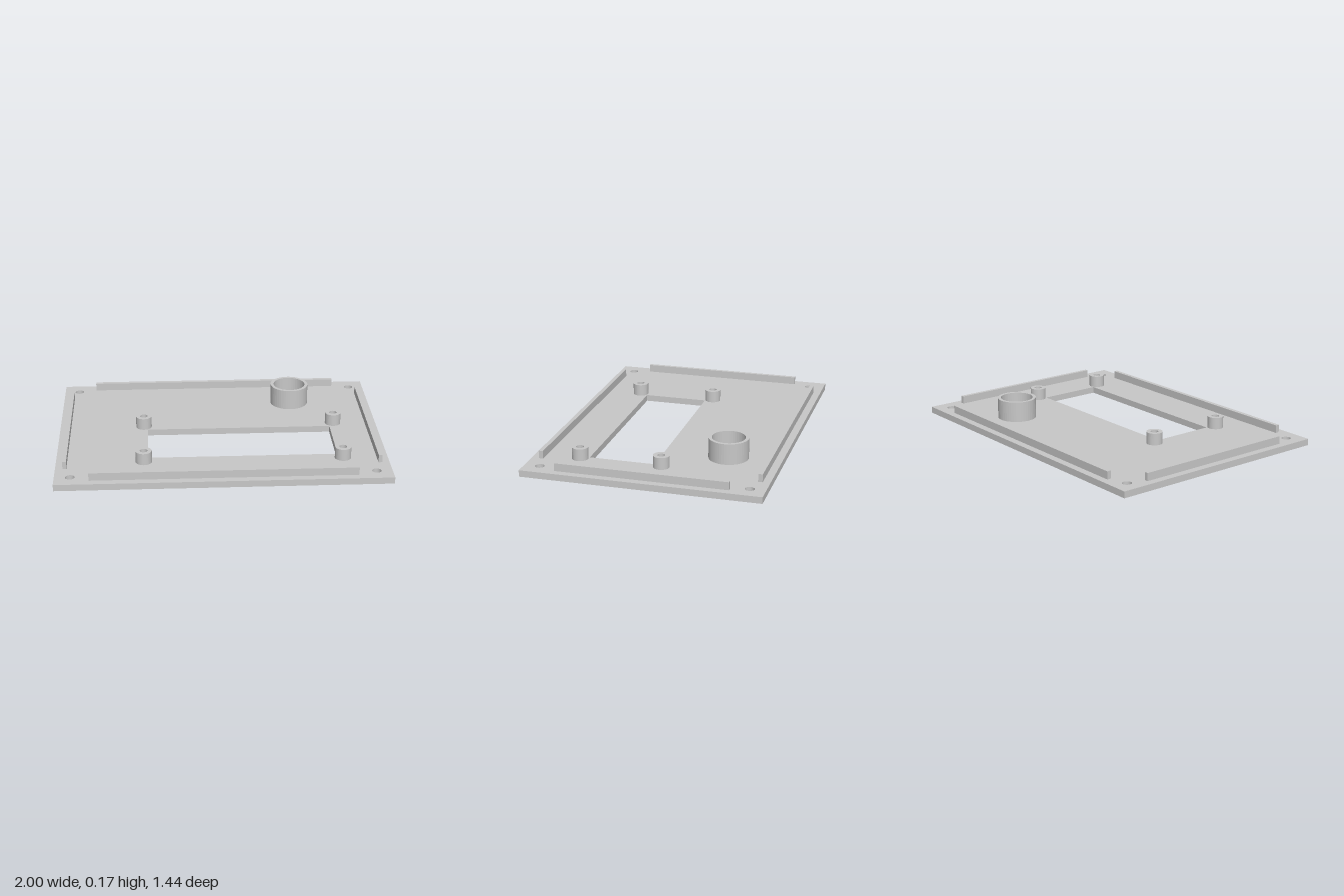
import * as THREE from 'three';

const PLATE = 0.04; // plate thickness

export function createModel() {
  const grey = new THREE.MeshStandardMaterial({ color: 0xc8c8c8 });
  grey.name = 'light grey plastic';
  const group = new THREE.Group();
  group.name = 'panelCover';

  const add = (name, geometry) => {
    const mesh = new THREE.Mesh(geometry, grey);
    mesh.name = name;
    group.add(mesh);
    return mesh;
  };
  const circle = (x, z, r) => new THREE.Path().absarc(x, -z, r, 0, Math.PI * 2, true);
  const rect = (path, x0, x1, z0, z1) =>
    path.moveTo(x0, -z1).lineTo(x1, -z1).lineTo(x1, -z0).lineTo(x0, -z0).closePath();
  // Shapes are drawn in x, -z and raised along y
  const raise = (shape, y0, y1) =>
    new THREE.ExtrudeGeometry(shape, { depth: y1 - y0, bevelEnabled: false, curveSegments: 24 })
      .rotateX(-Math.PI / 2).translate(0, y0, 0);
  const ring = (x, z, outer, inner, top) => {
    const shape = new THREE.Shape().absarc(x, -z, outer, 0, Math.PI * 2, false);
    shape.holes.push(circle(x, z, inner));
    return raise(shape, PLATE, top);
  };

  // Base plate with display window, screw holes and sound holes
  const plate = rect(new THREE.Shape(), -1, 1, -0.72, 0.72);
  plate.holes.push(rect(new THREE.Path(), -0.448, 0.702, -0.01, 0.39));
  for (const x of [-0.906, 0.906])
    for (const z of [-0.626, 0.626]) plate.holes.push(circle(x, z, 0.028));
  const sx = 0.48, sz = -0.4;
  plate.holes.push(circle(sx, sz, 0.017));
  for (let i = 0; i < 6; i++) {
    const a = (i * Math.PI) / 3;
    plate.holes.push(circle(sx + 0.057 * Math.cos(a), sz + 0.057 * Math.sin(a), 0.017));
  }
  add('basePlate', raise(plate, 0, PLATE));

  // Round sounder holder
  add('sounderHolder', ring(sx, sz, 0.121, 0.101, 0.168));

  // Screw bosses around the window
  for (const x of [-0.473, 0.728])
    for (const z of [-0.058, 0.44]) add('screwBoss', ring(x, z, 0.049, 0.023, 0.113));

  // Locating ribs along the four edges
  for (const s of [-1, 1]) {
    add('longRib', new THREE.BoxGeometry(1.59, 0.048, 0.026)).position.set(0, PLATE + 0.024, s * 0.662);
    add('shortRib', new THREE.BoxGeometry(0.023, 0.048, 1.036)).position.set(s * 0.944, PLATE + 0.024, 0);
  }
  return group;
}
